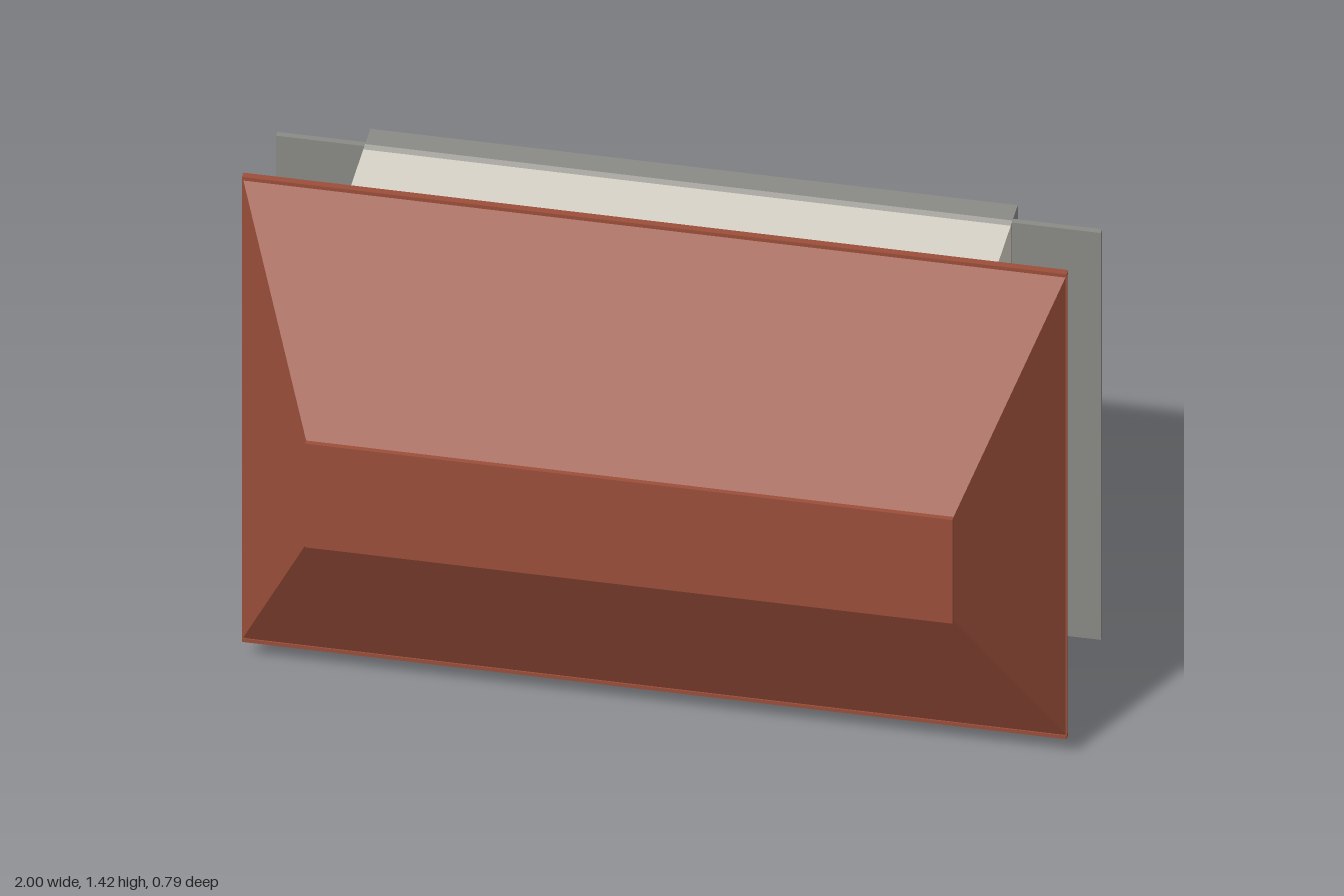
import * as THREE from 'three';

const mat = (color, side = THREE.FrontSide) =>
  new THREE.MeshStandardMaterial({ color, side, flatShading: true });

export function createModel() {
  const model = new THREE.Group();
  const roofMat = mat(0x9c4f3a, THREE.DoubleSide);
  const wallMat = mat(0xd8d4c8);
  const plinthMat = mat(0xa9a8a2);
  const stoneMat = mat(0x8a8b86);
  const glassMat = mat(0x87b0c4);
  const frameMat = mat(0x222222);
  const doorMat = mat(0x4a3324);

  // box from its limits on each axis
  function box(name, material, [x0, x1], [y0, y1], [z0, z1], parent = model) {
    const mesh = new THREE.Mesh(new THREE.BoxGeometry(x1 - x0, y1 - y0, z1 - z0), material);
    mesh.position.set((x0 + x1) / 2, (y0 + y1) / 2, (z0 + z1) / 2);
    mesh.name = name;
    parent.add(mesh);
    return mesh;
  }

  // house body lies on its back: its height runs along z
  const W = 0.785, Y0 = 0.225, Y1 = 1.252;
  box('walls', wallMat, [-W, W], [Y0, Y1], [-0.31, 0.08]);
  box('plinth', plinthMat, [-W, W], [Y0, Y1], [-0.332, -0.31]);
  box('foundation', stoneMat, [-W, W], [Y0, Y1], [-0.395, -0.332]);
  box('terraceSlab', stoneMat, [-1, 1], [0.053, Y1 - 0.002], [-0.342, -0.326]);
  box('step', stoneMat, [-W, W], [0, 0.053], [-0.357, -0.342]);

  // hollow hipped roof: loops from eave to flat top
  const eave = [[-1, 0.06], [1, 0.06], [1, 1.42], [-1, 1.42]];
  const top = [[-W, 0.585], [W, 0.585], [W, 0.89], [-W, 0.89]];
  const pts = [];
  const add = ([x, y], z) => pts.push(x, y, z);
  for (let i = 0; i < 4; i++) {
    const j = (i + 1) % 4;
    add(eave[i], 0.08); add(eave[j], 0.08); add(top[j], 0.382);
    add(eave[i], 0.08); add(top[j], 0.382); add(top[i], 0.382);
  }
  const roofGeo = new THREE.BufferGeometry();
  roofGeo.setAttribute('position', new THREE.Float32BufferAttribute(pts, 3));
  roofGeo.computeVertexNormals();
  const roof = new THREE.Mesh(roofGeo, roofMat);
  roof.name = 'roofSlopes';
  model.add(roof);
  box('roofTop', roofMat, [-W, W], [0.585, 0.89], [0.38, 0.395]);

  // thin fascia around the eave
  for (const y of [0.055, 1.413]) box('eaveFascia', roofMat, [-1, 1], [y, y + 0.01], [0.068, 0.086]);
  for (const x of [-1, 0.994]) box('sideFascia', roofMat, [x, x + 0.006], [0.06, 1.42], [0.074, 0.084]);

  // framed panes built in the xz plane, facing +y, u across and v up the house
  function opening(name, u0, u1, v0, v1, panes, fill) {
    const g = new THREE.Group();
    g.name = name;
    const b = 0.006;
    box('frame', frameMat, [u0, u1], [-0.002, 0.003], [v0, v1], g);
    const w = (u1 - u0 - b) / panes;
    for (let i = 0; i < panes; i++) {
      const s = u0 + b + i * w;
      box('pane', fill, [s, s + w - b], [0, 0.005], [v0 + b, v1 - b], g);
    }
    model.add(g);
    return g;
  }

  // rear wall windows
  for (const [a, b, v] of [[-0.64, -0.45, -0.135], [-0.07, 0.015, -0.07], [0.36, 0.595, -0.135]])
    opening('rearWindow', a, b, v, 0, 2, glassMat).position.y = Y1;

  // front wall windows and door
  const front = [
    opening('frontWindow', -0.58, -0.18, -0.135, 0, 3, glassMat),
    opening('frontWindow', -0.02, 0.22, -0.135, 0, 2, glassMat),
    opening('frontDoor', 0.27, 0.45, -0.31, 0, 1, doorMat),
    opening('frontWindow', 0.5, 0.73, -0.135, 0, 2, glassMat),
  ];
  for (const g of front) {
    g.rotation.z = Math.PI;
    g.position.y = Y0;
  }

  // one window on each side wall
  for (const s of [-1, 1]) {
    const g = opening('sideWindow', -0.0875, 0.0875, -0.13, 0.01, 1, glassMat);
    g.rotation.z = -s * Math.PI / 2;
    g.position.set(s * W, 0.942, 0);
  }
  return model;
}
